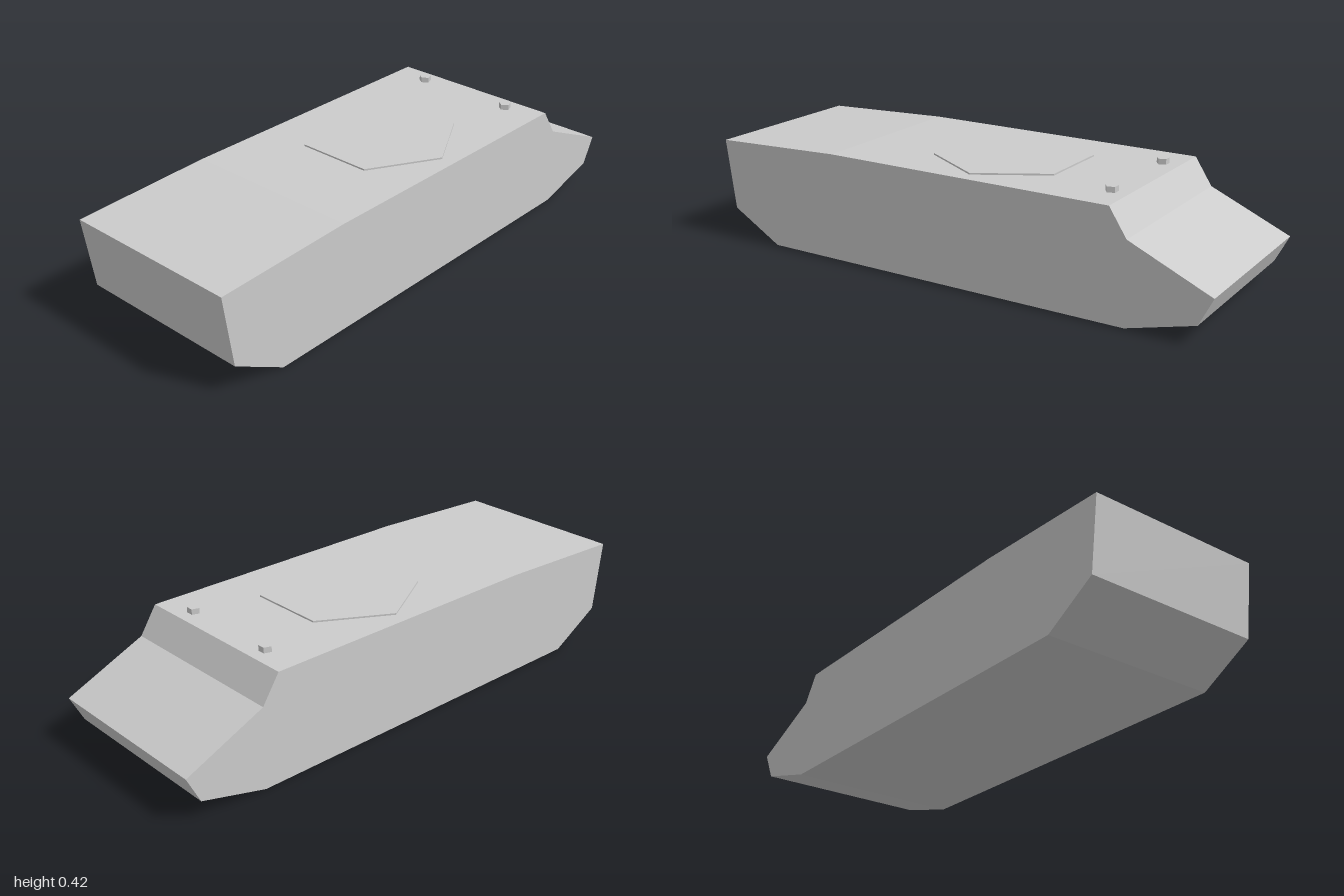
import * as THREE from 'three';

const material = new THREE.MeshStandardMaterial({ color: 0xcccccc, flatShading: true });

function addPart(group, name, geometry, x, y, z) {
  const mesh = new THREE.Mesh(geometry, material);
  mesh.name = name;
  mesh.position.set(x, y, z);
  group.add(mesh);
}

export function createModel() {
  const model = new THREE.Group();
  model.name = 'armouredHull';

  // Hull: side profile with its nose at +x, extruded across the width
  const width = 0.674;
  const deck = 0.4;
  const profile = new THREE.Shape([
    [-0.765, 0], [0.7, 0], [0.95, 0.067], [1, 0.167], [0.7, 0.3],
    [0.635, deck], [-0.48, deck], [-1, 0.38], [-0.965, 0.115],
  ].map(([x, y]) => new THREE.Vector2(x, y)));
  const hull = new THREE.ExtrudeGeometry(profile, { depth: width, bevelEnabled: false });
  addPart(model, 'hull', hull, 0, 0, -width / 2);

  // Thin six-sided turret ring on the deck, corners pointing to the sides
  const ringHeight = 0.006;
  addPart(model, 'turretRing', new THREE.CylinderGeometry(0.286, 0.286, ringHeight, 6),
    0.08, deck + ringHeight / 2, 0);

  // Pair of five-sided periscopes behind the nose, flat side forward
  const scopeHeight = 0.02;
  const scope = new THREE.CylinderGeometry(0.0233, 0.0233, scopeHeight, 5, 1, false, -Math.PI / 2);
  for (const side of [1, -1]) {
    addPart(model, side > 0 ? 'frontPeriscope' : 'backPeriscope', scope,
      0.572, deck + scopeHeight / 2, side * 0.195);
  }

  return model;
}
